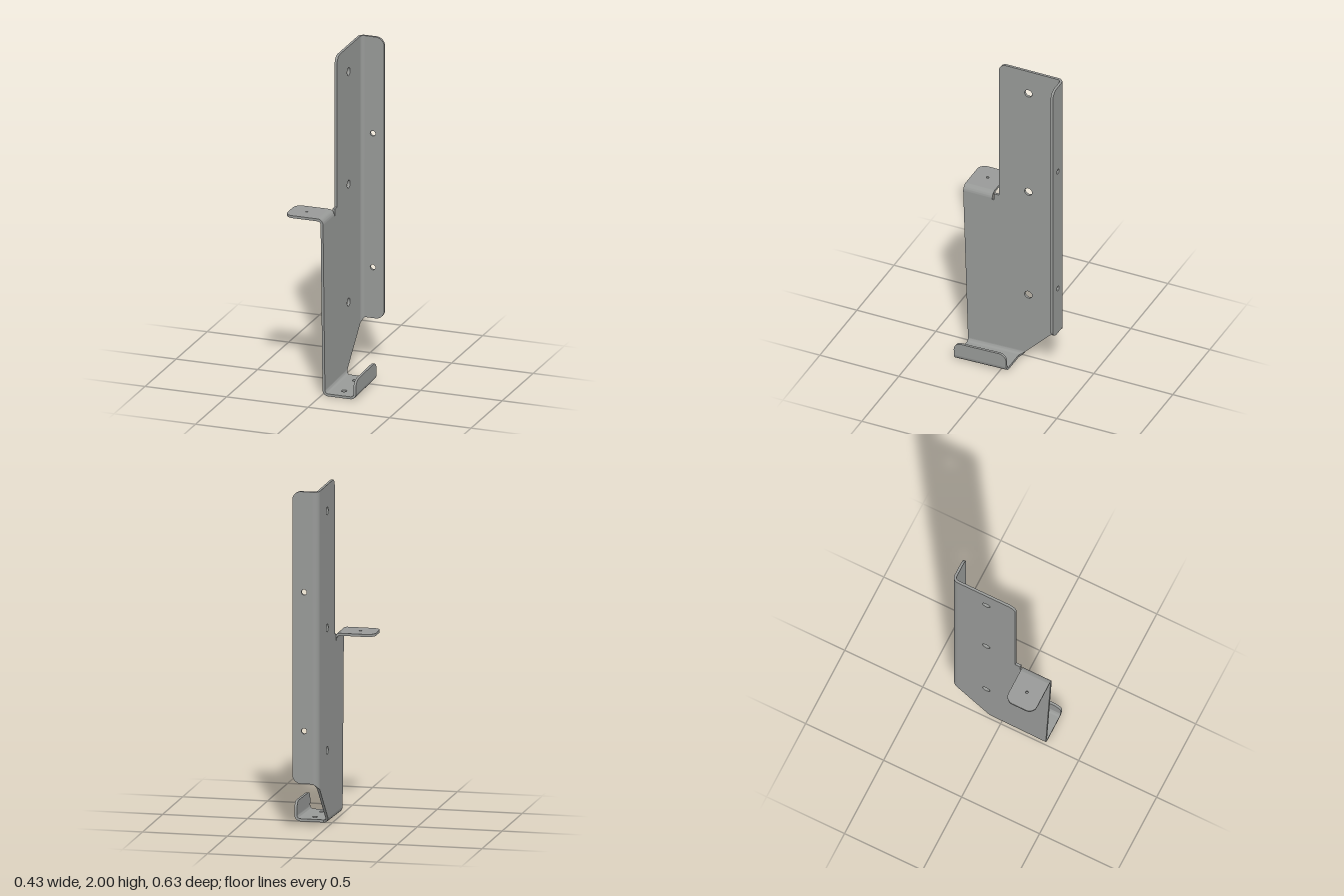
import * as THREE from 'three';
import { toCreasedNormals } from 'three/addons/utils/BufferGeometryUtils.js';

const T = 0.015;      // sheet thickness
const RI = 0.02;      // inside bend radius
const RO = RI + T;    // outside bend radius
const material = new THREE.MeshStandardMaterial({ color: 0x989a98 });

// Flat sheet from corners [x, y, radius] and holes [x, y, radius]
function sheet(corners, holes = []) {
  const shape = new THREE.Shape();
  const n = corners.length;
  corners.forEach(([x, y, r = 0], i) => {
    const p = new THREE.Vector2(x, y);
    const toward = (c, d) => new THREE.Vector2(c[0], c[1]).sub(p).setLength(d).add(p);
    const prev = corners[(i + n - 1) % n], next = corners[(i + 1) % n];
    const a = r ? toward(prev, r) : p;
    if (i === 0) shape.moveTo(a.x, a.y); else shape.lineTo(a.x, a.y);
    if (r) {
      const b = toward(next, r), c1 = toward(prev, r * 0.45), c2 = toward(next, r * 0.45);
      shape.bezierCurveTo(c1.x, c1.y, c2.x, c2.y, b.x, b.y);
    }
  });
  for (const [x, y, r] of holes) {
    shape.holes.push(new THREE.Path().absarc(x, y, r, 0, Math.PI * 2, true));
  }
  return new THREE.ExtrudeGeometry(shape, { depth: T, bevelEnabled: false, curveSegments: 10 });
}

// Quarter bend around z; its low end runs from lowA to lowB along the arc
function bend(cx, cy, start, lowA, lowB, high) {
  const steps = 10, pos = [], index = [];
  for (let i = 0; i <= steps; i++) {
    const t = i / steps, a = start + t * Math.PI / 2;
    const low = lowA + (lowB - lowA) * t;
    for (const [r, z] of [[RI, low], [RO, low], [RO, high], [RI, high]]) {
      pos.push(cx + r * Math.cos(a), cy + r * Math.sin(a), z);
    }
  }
  for (let i = 0; i < steps; i++) {
    for (let k = 0; k < 4; k++) {
      const p = i * 4 + k, q = i * 4 + (k + 1) % 4;
      index.push(p, p + 4, q + 4, p, q + 4, q);
    }
  }
  const g = new THREE.BufferGeometry();
  g.setAttribute('position', new THREE.Float32BufferAttribute(pos, 3));
  g.setIndex(index);
  return g;
}

function add(parent, name, geometry) {
  const mesh = new THREE.Mesh(toCreasedNormals(geometry, 0.6), material);
  mesh.name = name;
  parent.add(mesh);
}

export function createModel() {
  const model = new THREE.Group();
  model.name = 'bracket';
  const H = Math.PI / 2;

  // Upright main plate, drawn in (-z, y)
  add(model, 'mainPlate', sheet([
    [-0.286, 0.035], [0.08, 0.045], [0.2815, 0.25], [0.2815, 2], [-0.09, 2, 0.045],
    [-0.09, 1.084], [-0.122, 1.084], [-0.122, 1.042], [-0.133, 1.042], [-0.133, 1.049], [-0.3165, 1.049],
  ], [1.847, 1.162, 0.444].map((y) => [0.096, y, 0.024])).rotateY(H).translate(0.007, 0, 0));

  // Back flange and its bend
  add(model, 'backBend', bend(0.042, 0.2815, H, 0.288, 0.25, 2).rotateX(-H));
  add(model, 'backFlange', sheet([
    [0.042, 0.288], [0.161, 0.288, 0.05], [0.161, 2, 0.05], [0.042, 2],
  ], [[0.092, 1.411, 0.016], [0.092, 0.597, 0.016]]).translate(0, 0, -0.3165));

  // Side tab, drawn in (x, -z)
  add(model, 'tabBend', bend(-0.013, 1.049, 0, 0.133, 0.133, 0.3165));
  add(model, 'sideTab', sheet([
    [-0.013, -0.3165], [-0.013, -0.133], [-0.214, -0.133, 0.048], [-0.214, -0.3165, 0.048],
  ], [[-0.113, -0.225, 0.008]]).rotateX(-H).translate(0, 1.069, 0));

  // Slightly tilted hook channel at the foot
  const hook = new THREE.Group();
  hook.name = 'footHook';
  hook.position.z = 0.285;
  hook.rotation.x = 0.028;
  model.add(hook);
  add(hook, 'footBend', bend(0.042, 0.035, Math.PI, -0.365, -0.331, 0));
  add(hook, 'footFloor', sheet([
    [0.042, 0], [0.178, 0], [0.178, 0.331], [0.042, 0.331],
  ], [[0.11, 0.077, 0.016], [0.11, 0.254, 0.016]]).rotateX(-H));
  add(hook, 'lipBend', bend(0.178, 0.035, 3 * H, -0.331, -0.331, 0));
  add(hook, 'footLip', sheet([
    [0, 0.035], [0.331, 0.035], [0.331, 0.116, 0.045], [0, 0.116, 0.045],
  ]).rotateY(H).translate(0.198, 0, 0));

  return model;
}
